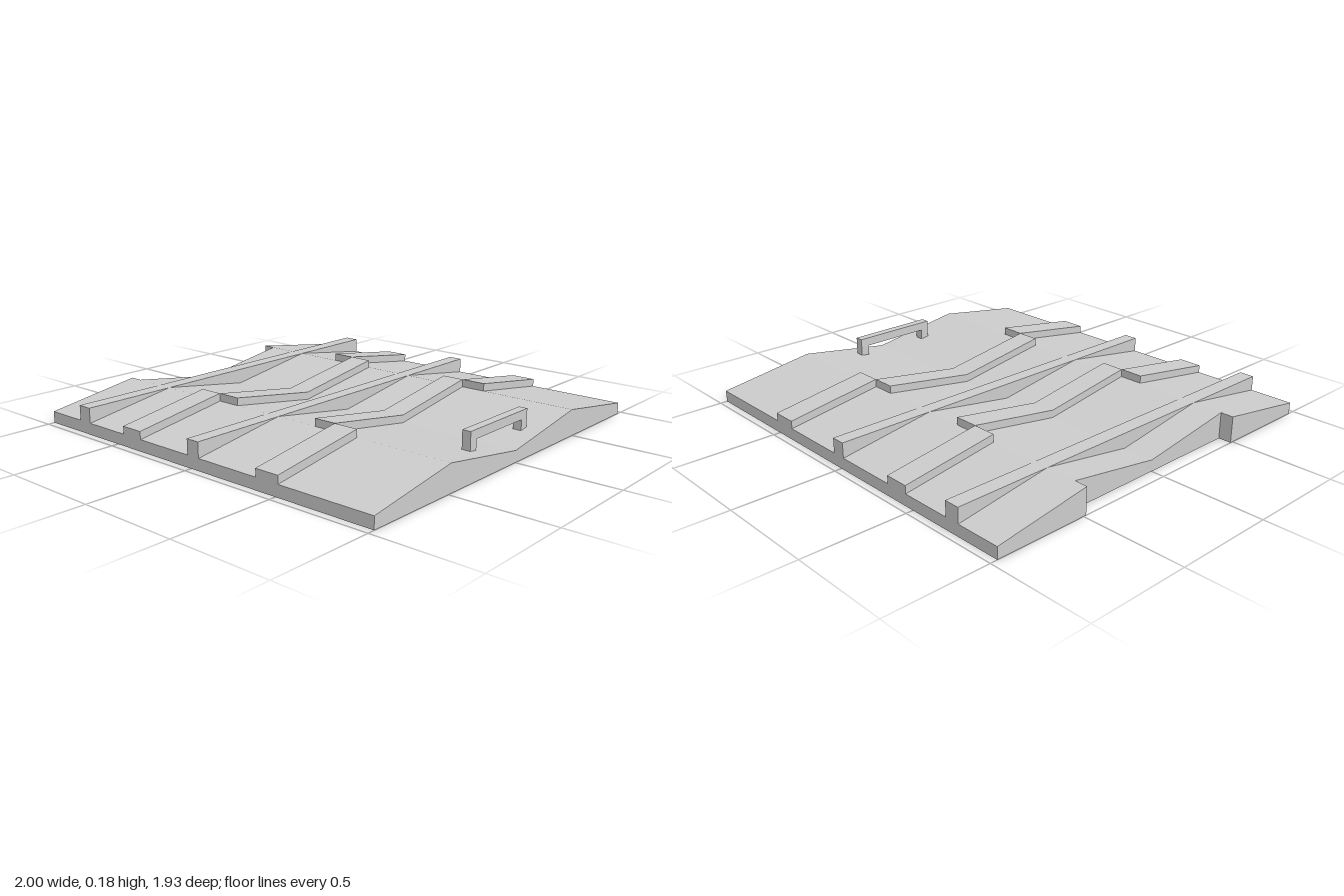
import * as THREE from 'three';

const END = 0.965, RIDGE = 0.485, LOW = 0.056, HIGH = 0.13, LIFT = 0.038, SINK = 0.015;

// Height of the zigzag surface at a given z
const surface = (z) => {
  const t = Math.abs(Math.abs(z) - RIDGE) / RIDGE;
  return HIGH - (HIGH - LOW) * Math.min(t, 1);
};

export function createModel() {
  const model = new THREE.Group();
  const material = new THREE.MeshStandardMaterial({ color: 0xcccccc, flatShading: true });

  // Extrudes a side outline of [z, y] points from x0 to x1
  function slab(name, x0, x1, points) {
    const shape = new THREE.Shape(points.map(([z, y]) => new THREE.Vector2(z, y)));
    const geometry = new THREE.ExtrudeGeometry(shape, { depth: x1 - x0, bevelEnabled: false });
    geometry.rotateY(-Math.PI / 2).translate(x1, 0, 0);
    const mesh = new THREE.Mesh(geometry, material);
    mesh.name = name;
    model.add(mesh);
  }

  // Raised strip following the surface through the given z stations
  function strip(name, x0, x1, stations) {
    const top = stations.map((z) => [z, surface(z) + LIFT]);
    const under = stations.map((z) => [z, surface(z) - SINK]).reverse();
    slab(name, x0, x1, [...top, ...under]);
  }

  // Zigzag base plate
  const zs = [END, RIDGE, 0, -RIDGE, -END];
  slab('basePlate', -0.935, 1, [[-END, 0], [END, 0], ...zs.map((z) => [z, surface(z)])]);

  // Side tabs on either side of the notch in the right edge
  for (const s of [1, -1]) {
    slab(s > 0 ? 'frontTab' : 'backTab', -1, -0.935, [
      [s * RIDGE, 0], [s * END, 0], [s * END, surface(END)], [s * RIDGE, HIGH],
    ]);
  }

  // Straight rails running the full depth
  for (const [name, x0, x1] of [['rightRail', -0.78, -0.705], ['middleRail', -0.02, 0.05]]) {
    slab(name, x0, x1, [[-END, 0.03], [END, 0.03], [END, HIGH], [-END, HIGH]]);
  }

  // Staggered strips: outer slopes and the central valley
  for (const [side, x0, x1] of [['right', -0.455, -0.335], ['left', 0.39, 0.515]]) {
    strip(side + 'FrontStrip', x0, x1, [END, RIDGE]);
    strip(side + 'BackStrip', x0, x1, [-RIDGE, -END]);
  }
  strip('rightValleyStrip', -0.335, -0.215, [RIDGE, 0, -RIDGE]);
  strip('leftValleyStrip', 0.275, 0.39, [RIDGE, 0, -RIDGE]);

  // Bracket handle with two legs
  slab('handle', 0.872, 0.915, [
    [-0.225, 0.06], [-0.18, 0.06], [-0.18, 0.135], [0.18, 0.135],
    [0.18, 0.06], [0.225, 0.06], [0.225, 0.178], [-0.225, 0.178],
  ]);

  return model;
}
